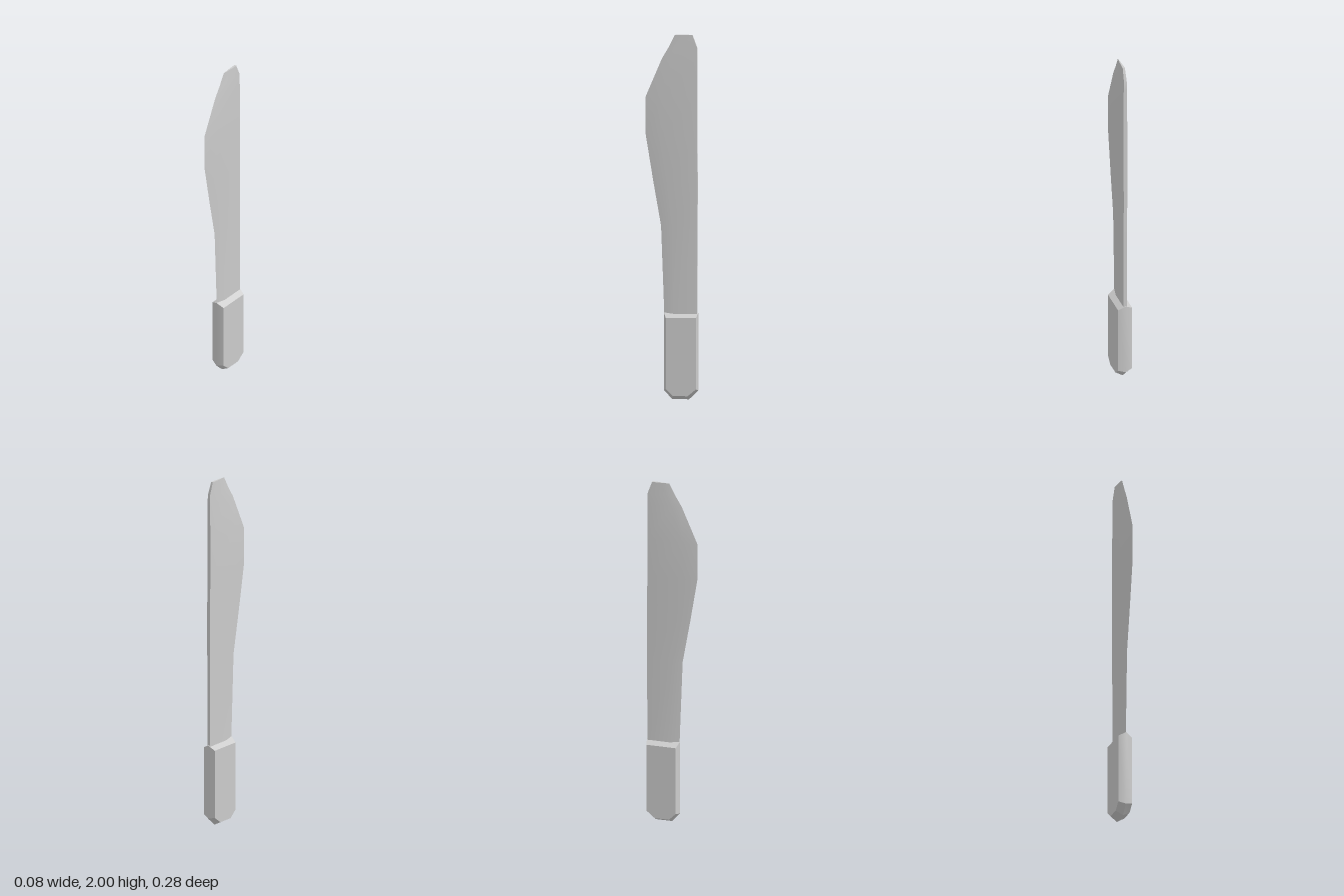
import * as THREE from 'three';
import { toCreasedNormals } from 'three/addons/utils/BufferGeometryUtils.js';

// Skin a stack of equal-length loops (counter-clockwise seen from the last loop) and cap both ends
function loft(loops) {
  const n = loops[0].length, last = (loops.length - 1) * n, index = [];
  for (let s = 0; s < last; s += n) {
    for (let i = 0; i < n; i++) {
      const a = s + i, b = s + (i + 1) % n;
      index.push(a, b, b + n, a, b + n, a + n);
    }
  }
  for (let i = 1; i < n - 1; i++) {
    index.push(0, i + 1, i, last, last + i, last + i + 1);
  }
  const geometry = new THREE.BufferGeometry();
  geometry.setAttribute('position', new THREE.Float32BufferAttribute(loops.flat(2), 3));
  geometry.setIndex(index);
  return toCreasedNormals(geometry.toNonIndexed(), THREE.MathUtils.degToRad(38));
}

export function createModel() {
  const group = new THREE.Group();
  const material = new THREE.MeshStandardMaterial({ color: 0xcccccc });
  const add = (name, geometry) => {
    const mesh = new THREE.Mesh(geometry, material);
    mesh.name = name;
    group.add(mesh);
  };

  // Blade sections: height, cutting edge z, bevel z, half thickness at bevel, spine z, half thickness at spine
  const sections = [
    [0.45, 0.042, -0.01, 0.010, -0.135, 0.010],
    [0.95, 0.06, 0.0, 0.010, -0.137, 0.010],
    [1.2, 0.103, 0.03, 0.011, -0.138, 0.010],
    [1.45, 0.143, 0.06, 0.012, -0.135, 0.011],
    [1.66, 0.143, 0.06, 0.012, -0.135, 0.011],
    [1.87, 0.055, 0.0, 0.009, -0.135, 0.009],
    [1.93, 0.02, -0.03, 0.007, -0.135, 0.008],
    [2.0, -0.015, -0.06, 0.004, -0.11, 0.006],
  ];
  add('blade', loft(sections.map(([y, edge, bevel, w, spine, ws]) => [
    [0, y, edge], [w, y, bevel], [ws, y, spine], [-ws, y, spine], [-w, y, bevel],
  ])));

  // Handle: a wide middle outline with smaller, chamfered outlines on both sides, as [z, y]
  const middle = [[0.045, 0.05], [0, 0], [-0.092, 0], [-0.141, 0.05], [-0.141, 0.475], [0.045, 0.475]];
  const side = [[0.032, 0.062], [-0.006, 0.024], [-0.086, 0.024], [-0.131, 0.062], [-0.131, 0.453], [0.032, 0.453]];
  const outline = (points, x) => points.map(([z, y]) => [x, y, z]);
  add('handle', loft([outline(side, -0.04), outline(middle, 0), outline(side, 0.04)]));

  return group;
}
